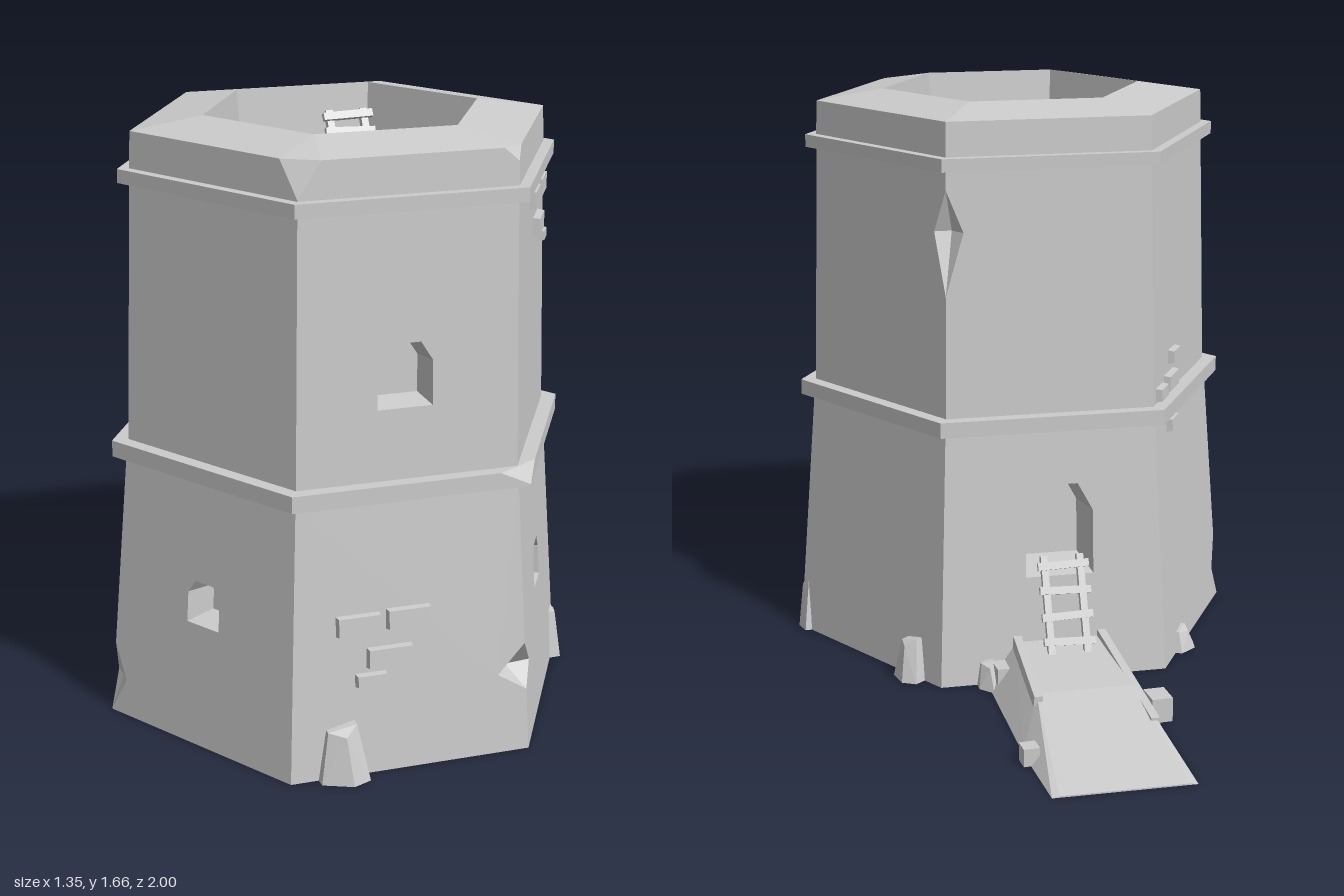
import * as THREE from 'three';
import { ConvexGeometry } from 'three/addons/geometries/ConvexGeometry.js';

const CZ = 0.355;                 // tower axis
const C30 = Math.cos(Math.PI / 6);
const V = (x, y, z) => new THREE.Vector3(x, y, z);
const grey = new THREE.MeshStandardMaterial({ color: 0xcccccc, flatShading: true });

// Point on hexagon side k (0 = front, counting towards +x): u along, y up, ap = apothem
function onSide(k, u, y, ap) {
  const a = k * Math.PI / 3;
  return V(Math.sin(a) * ap + Math.cos(a) * u, y, CZ + Math.cos(a) * ap - Math.sin(a) * u);
}
const corner = (k, y, r) => onSide(k, r / 2, y, r * C30);
const hexRing = (y, r) => [0, 1, 2, 3, 4, 5].map(k => corner(k, y, r));

// Collects polygons into one flat-shaded mesh
class Facets {
  constructor() { this.p = []; }
  poly(...v) {
    for (let i = 1; i < v.length - 1; i++) for (const q of [v[0], v[i], v[i + 1]]) this.p.push(q.x, q.y, q.z);
  }
  // sheet bounded by a contour with holes, placed in space by a mapping
  sheet(contour, holes, map) {
    const all = [contour, ...holes].flat();
    for (const t of THREE.ShapeUtils.triangulateShape(contour, holes)) this.poly(...t.map(i => map(all[i])));
  }
  // walls sinking from one loop to another, closed at the back if wanted
  recess(front, back, closed = true) {
    front.forEach((f, i) => {
      const j = (i + 1) % front.length;
      this.poly(f, front[j], back[j], back[i]);
    });
    if (closed) this.poly(...back);
  }
  mesh(name) {
    const g = new THREE.BufferGeometry();
    g.setAttribute('position', new THREE.Float32BufferAttribute(this.p, 3));
    g.computeVertexNormals();
    return named(g, name);
  }
}
function named(geo, name) {
  const m = new THREE.Mesh(geo, grey);
  m.name = name;
  return m;
}

// Six-sided tapered storey with arched openings and chipped corners.
// chip: {c corner, a low, b deepest, t high, d width, depth}; without b it cuts the top corner off.
function storey(name, y0, y1, r0, r1, { openings = [], chips = [], lid, base } = {}) {
  const F = new Facets();
  const rad = y => r0 + (r1 - r0) * (y - y0) / (y1 - y0);
  const P = (k, u, y, inset = 0) => onSide(k, u, y, rad(y) * C30 - inset);
  const chipAt = c => chips.find(q => q.c === c % 6);
  const edge = q => {
    if (!q) return [[0, y0], [0, y1]];
    if (q.b === undefined) return [[0, y0], [0, q.a], [q.d, y1]];
    return [[0, y0], ...(q.a > y0 ? [[0, q.a]] : []), [q.d, q.b], [0, q.t], [0, y1]];
  };
  for (let k = 0; k < 6; k++) {
    const L = chipAt(k + 5), R = chipAt(k);
    const right = edge(R).map(([d, y]) => new THREE.Vector2(rad(y) / 2 - d, y));
    const left = edge(L).map(([d, y]) => new THREE.Vector2(d - rad(y) / 2, y)).reverse();
    const mine = openings.filter(o => o.k === k);
    const arch = (o, s) => [[-.5, 0], [.5, 0], [.5, .7], [.28, 1], [-.28, 1], [-.5, .7]].map(([u, v]) =>
      new THREE.Vector2(o.u + u * o.w * s, o.y + o.h * (.5 + (v - .5) * s)));
    F.sheet([...right, ...left], mine.map(o => arch(o, 1)), q => P(k, q.x, q.y));
    for (const o of mine)
      F.recess(arch(o, 1).map(q => P(k, q.x, q.y)), arch(o, .84).map(q => P(k, q.x, q.y, o.depth)));

    // chipped corner facets
    if (R) {
      const yb = R.b ?? y1, h = rad(yb) / 2 - R.d;
      const s1 = P(k, h, yb), s2 = P(k + 1, -h, yb), low = corner(k, R.a, rad(R.a));
      if (R.b === undefined) {
        F.poly(s1, low, s2);
        if (lid) F.poly(s1, s2, corner(k, lid[1], lid[0]));
      } else {
        const high = corner(k, R.t, rad(R.t)), pit = corner(k, R.b, rad(R.b) - R.depth);
        F.poly(s1, low, pit); F.poly(low, s2, pit); F.poly(s2, high, pit); F.poly(high, s1, pit);
      }
    }
    // top ledge and underside
    if (lid) {
      F.poly(P(k, left[0].x, y1), P(k, right[right.length - 1].x, y1),
        corner(k, lid[1], lid[0]), corner(k + 5, lid[1], lid[0]));
    }
    if (base !== undefined)
      F.poly(corner(k, y0, r0), corner(k + 5, y0, r0), corner(k + 5, y0, base), corner(k, y0, base));
  }
  return F.mesh(name);
}

// Raised brick with bevelled face, on tower side k
function brick(k, u, y, w, h, ap, tilt) {
  const g = new THREE.BoxGeometry(w, h, .05), p = g.attributes.position;
  for (let i = 0; i < p.count; i++)
    if (p.getZ(i) > 0) p.setXY(i, p.getX(i) - Math.sign(p.getX(i)) * .008, p.getY(i) - Math.sign(p.getY(i)) * .008);
  const m = named(g, 'brick');
  m.position.copy(onSide(k, u, y, ap - .006));
  m.rotation.set(-tilt, k * Math.PI / 3, 0, 'YXZ');
  return m;
}

// Boulder leaning on the wall, facing outwards at the given angle
function rock(x, z, deg, w, d, h) {
  const pts = [V(-w / 2, 0, -.08), V(w / 2, 0, -.08), V(-w / 2, 0, d * .5), V(w / 2, 0, d * .7), V(w * .1, 0, d),
    V(-w * .32, h * .88, -.06), V(w * .3, h, -.06), V(-w * .32, h * .85, d * .2), V(w * .28, h * .95, d * .25),
    V(0, h * .8, d * .6)];
  const m = named(new ConvexGeometry(pts), 'rock');
  m.position.set(x, 0, z);
  m.rotation.y = deg * Math.PI / 180;
  return m;
}

// Ladder leaning in the y-z plane; side = which way the rungs face
function ladder(name, x, w, [y0, z0], [y1, z1], rungs, side) {
  const g = new THREE.Group(), len = Math.hypot(y1 - y0, z1 - z0);
  g.name = name;
  for (const s of [-1, 1]) {
    const rail = named(new THREE.BoxGeometry(.02, len, .02), 'rail');
    rail.position.set(s * (w / 2 - .022), len / 2, 0);
    g.add(rail);
  }
  for (let i = 0; i < rungs; i++) {
    const rung = named(new THREE.BoxGeometry(w, .022, .016), 'rung');
    rung.position.set(0, len * (i + .6) / rungs, side * .014);
    rung.rotation.z = (i % 2 ? -1 : 1) * .03;
    g.add(rung);
  }
  g.position.set(x, y0, z0);
  g.rotation.x = Math.atan2(z1 - z0, y1 - y0);
  return g;
}

export function createModel() {
  const model = new THREE.Group();
  model.name = 'tower';

  // storeys, collars and parapet
  model.add(
    storey('lowerStorey', 0, .76, .672, .612, {
      base: 0,
      openings: [
        { k: 1, u: 0, y: .345, w: .115, h: .12, depth: .09 },
        { k: 5, u: 0, y: .34, w: .115, h: .12, depth: .09 },
        { k: 3, u: .02, y: .31, w: .2, h: .27, depth: .14 }],
      chips: [
        { c: 0, a: .17, b: .22, t: .3, d: .08, depth: .07 },
        { c: 4, a: 0, b: .1, t: .2, d: .05, depth: .028 }],
    }),
    storey('upperStorey', .76, 1.52, .608, .587, {
      openings: [{ k: 0, u: -.01, y: .98, w: .15, h: .17, depth: .08 }],
      chips: [{ c: 2, a: 1.14, b: 1.32, t: 1.44, d: .05, depth: .05 }],
    }),
    storey('middleCollar', .745, .79, .652, .652, {
      lid: [.56, .79], base: .56, chips: [{ c: 0, a: .75, d: .085 }],
    }),
    storey('upperCollar', 1.495, 1.532, .62, .62, { lid: [.54, 1.532], base: .54 }),
    storey('parapet', 1.52, 1.63, .588, .584, {
      lid: [.387, 1.66], chips: [{ c: 5, a: 1.535, d: .06 }, { c: 0, a: 1.595, d: .04 }],
    }));

  // sunken roof with hatch
  const roof = new Facets(), floorY = 1.5;
  const floor = hexRing(floorY, .372);
  roof.recess(hexRing(1.66, .387), floor, false);
  const hatch = [[0, .12], [.06, .235], [.18, .235], [.22, .16], [.19, .06], [.04, .06]];
  const flat = (x, z) => new THREE.Vector2(x, -z);
  roof.sheet(floor.map(p => flat(p.x, p.z)), [hatch.map(([x, z]) => flat(x, z))], q => V(q.x, floorY, -q.y));
  roof.recess(hatch.map(([x, z]) => V(x, floorY, z)), hatch.map(([x, z]) => V(x, floorY - .12, z)));
  model.add(roof.mesh('roofFloor'));
  model.add(ladder('roofLadder', .115, .145, [1.38, .165], [1.59, .05], 5, 1));
  model.add(ladder('doorLadder', -.025, .15, [.1, -.315], [.37, -.2], 4, -1));

  // brick patches: side, u, y, width, height
  const bricks = [
    [0, -.145, .415, .13, .065], [0, -.007, .42, .13, .065], [0, -.06, .32, .135, .065], [0, -.112, .262, .095, .045],
    [1, -.005, 1.44, .125, .06], [1, .16, 1.44, .125, .06], [1, .1, 1.345, .125, .06], [1, .19, 1.293, .07, .04],
    [4, -.235, .815, .09, .05], [4, -.125, .825, .12, .06], [4, -.09, .895, .09, .05], [4, -.14, .7, .09, .05]];
  for (const [k, u, y, w, h] of bricks) {
    const low = y < .76;
    const r = low ? .672 - .06 * y / .76 : .608 - .021 * (y - .76) / .76;
    model.add(brick(k, u, y, w, h, r * C30, low ? .068 : .024));
  }

  // boulders round the foot
  const rocks = [[-.195, .93, 0, .13, .07, .16], [.64, .37, 92, .12, .04, .16], [.4, -.12, 128, .1, .06, .13],
    [-.42, -.07, 240, .1, .05, .07], [.2, -.22, 180, .06, .08, .08]];
  for (const r of rocks) model.add(rock(...r));

  // ramp: cross-sections z, crest height, left and right crest x
  const sections = [[-.2, .12, -.14, .11], [-.55, .098, -.155, .125], [-.72, .06, -.17, .14], [-1, .004, -.185, .165]];
  const pts = sections.flatMap(([z, y, l, r]) =>
    [V(-.208, 0, z), V(z === -1 ? .185 : .2, 0, z), V(l, y, z), V(r, y, z)]);
  model.add(named(new ConvexGeometry(pts), 'ramp'));

  // worn kerbs along the ramp
  const kerb = (x0, x1, z1, y1) => named(new ConvexGeometry([-.012, .022].flatMap(w => [
    V(x0 + w, .04, -.21), V(x1 + w, .03, z1), V(x0 + w * .7, .138, -.21), V(x1 + w * .7, y1, z1)])), 'kerb');
  model.add(kerb(-.145, -.172, -.72, .07), kerb(.105, .125, -.59, .105));

  // loose stones beside the ramp
  for (const [x, z, w, h, d] of [[-.22, -.56, .06, .07, .08], [.195, -.775, .045, .05, .05], [.16, -.26, .05, .07, .07]]) {
    const s = named(new THREE.BoxGeometry(w, h, d), 'looseStone');
    s.position.set(x, h / 2, z);
    s.rotation.y = .06;
    model.add(s);
  }
  return model;
}
